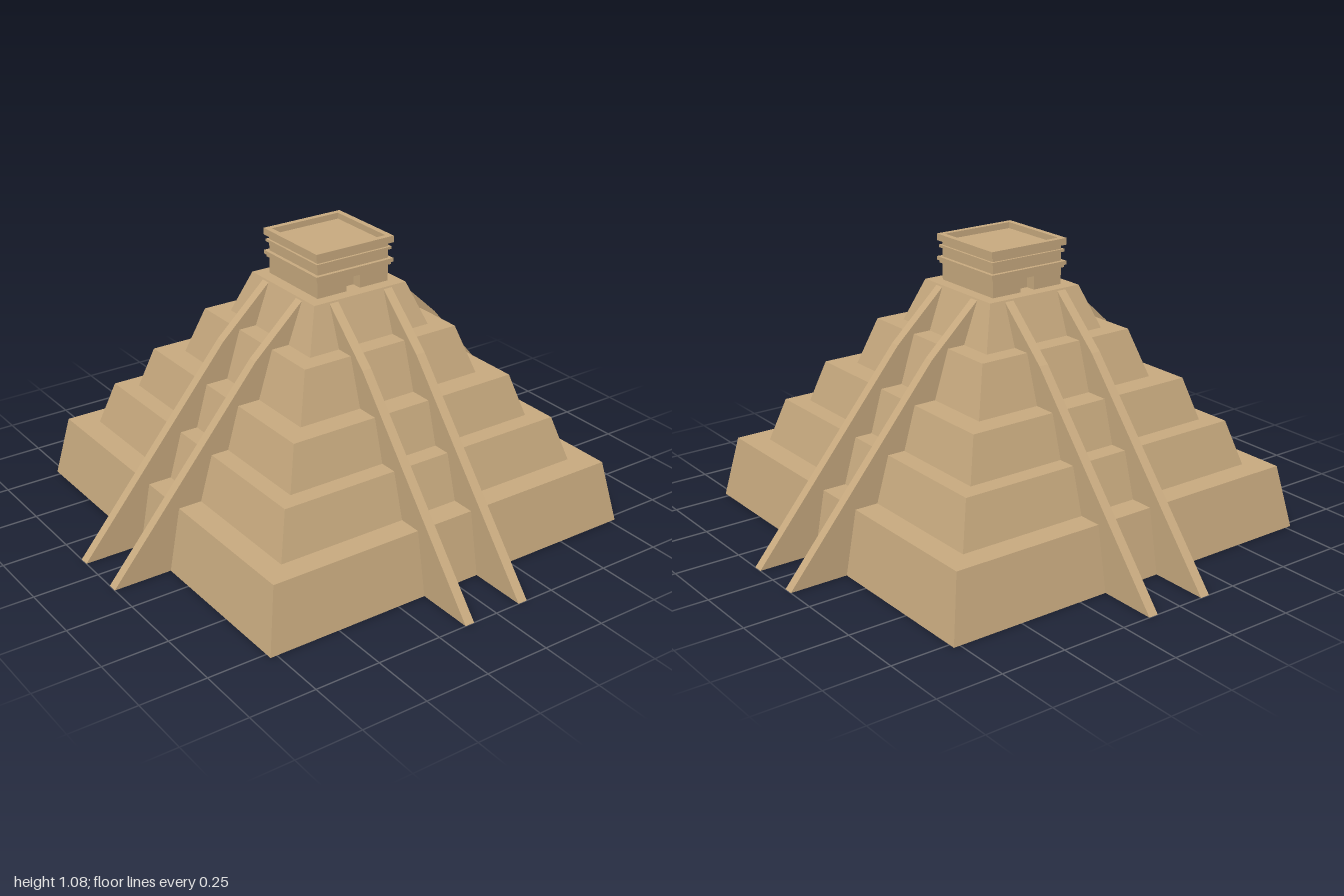
import * as THREE from 'three';

const stone = new THREE.MeshStandardMaterial({ color: 0xc8aa7f });
stone.name = 'sandstone';

function addPart(parent, name, geometry) {
  const mesh = new THREE.Mesh(geometry, stone);
  mesh.name = name;
  parent.add(mesh);
  return mesh;
}

// Square frustum with crisp faces; sizes are half widths
function frustum(bottom, top, y0, y1) {
  const g = new THREE.CylinderGeometry(top * Math.SQRT2, bottom * Math.SQRT2, y1 - y0, 4)
    .rotateY(Math.PI / 4).translate(0, (y0 + y1) / 2, 0).toNonIndexed();
  g.computeVertexNormals();
  return g;
}

function box(w, d, y0, y1) {
  return new THREE.BoxGeometry(w, y1 - y0, d).translate(0, (y0 + y1) / 2, 0);
}

function polygon(points) {
  return new THREE.Shape(points.map(([x, y]) => new THREE.Vector2(x, y)));
}

function square(PathType, h) {
  return new PathType([[-h, -h], [h, -h], [h, h], [-h, h]].map(([x, y]) => new THREE.Vector2(x, y)));
}

export function createModel() {
  const model = new THREE.Group();
  model.name = 'steppedPyramid';

  // Five sloping tiers: bottom half width, top half width, base, top
  const tiers = [
    [0.775, 0.73, 0, 0.24],
    [0.64, 0.59, 0.24, 0.41],
    [0.522, 0.475, 0.41, 0.57],
    [0.388, 0.33, 0.57, 0.75],
    [0.26, 0.2, 0.75, 0.91],
  ];
  tiers.forEach((t, i) => addPart(model, `tier${i + 1}`, frustum(...t)));

  // Pairs of stair walls running down all four sides
  const width = 0.037;
  const wall = new THREE.ExtrudeGeometry(
    polygon([[0.7, 0], [1, 0], [0.4, 0.72], [0.2, 0.906], [0.19, 0.85]]),
    { depth: width, bevelEnabled: false }
  ).translate(0, 0, -width / 2);
  for (let side = 0; side < 4; side++) {
    const stair = new THREE.Group();
    stair.name = `stairWalls${side + 1}`;
    stair.rotation.y = side * Math.PI / 2;
    const offset = side % 2 ? 0.107 : 0.118;
    for (const s of [-1, 1]) addPart(stair, 'stairWall', wall).position.z = s * offset;
    model.add(stair);
  }

  // Temple core, with a notched wall at each end forming the doorway
  const temple = new THREE.Group();
  temple.name = 'temple';
  model.add(temple);
  const h = 0.154, depth = 0.04;
  addPart(temple, 'core', box(2 * (h - depth), 2 * h, 0.91, 1.05));
  const doorWall = new THREE.ExtrudeGeometry(
    polygon([[-h, 0.91], [-0.03, 0.91], [-0.03, 0.96], [0.03, 0.96], [0.03, 0.91],
      [h, 0.91], [h, 1.05], [-h, 1.05]]),
    { depth, bevelEnabled: false }
  ).translate(0, 0, h - depth);
  for (const s of [-1, 1]) addPart(temple, 'doorWall', doorWall).rotation.y = s * Math.PI / 2;

  // Projecting mouldings
  const bands = [[0.162, 0.974, 0.984], [0.168, 0.984, 0.998], [0.163, 1.032, 1.042]];
  for (const [half, y0, y1] of bands) addPart(temple, 'moulding', box(2 * half, 2 * half, y0, y1));

  // Sunken roof inside a parapet
  addPart(temple, 'roof', box(0.308, 0.308, 1.04, 1.06));
  const rim = square(THREE.Shape, 0.168);
  rim.holes.push(square(THREE.Path, 0.146));
  addPart(temple, 'parapet', new THREE.ExtrudeGeometry(rim, { depth: 0.025, bevelEnabled: false })
    .rotateX(-Math.PI / 2).translate(0, 1.058, 0));

  return model;
}
